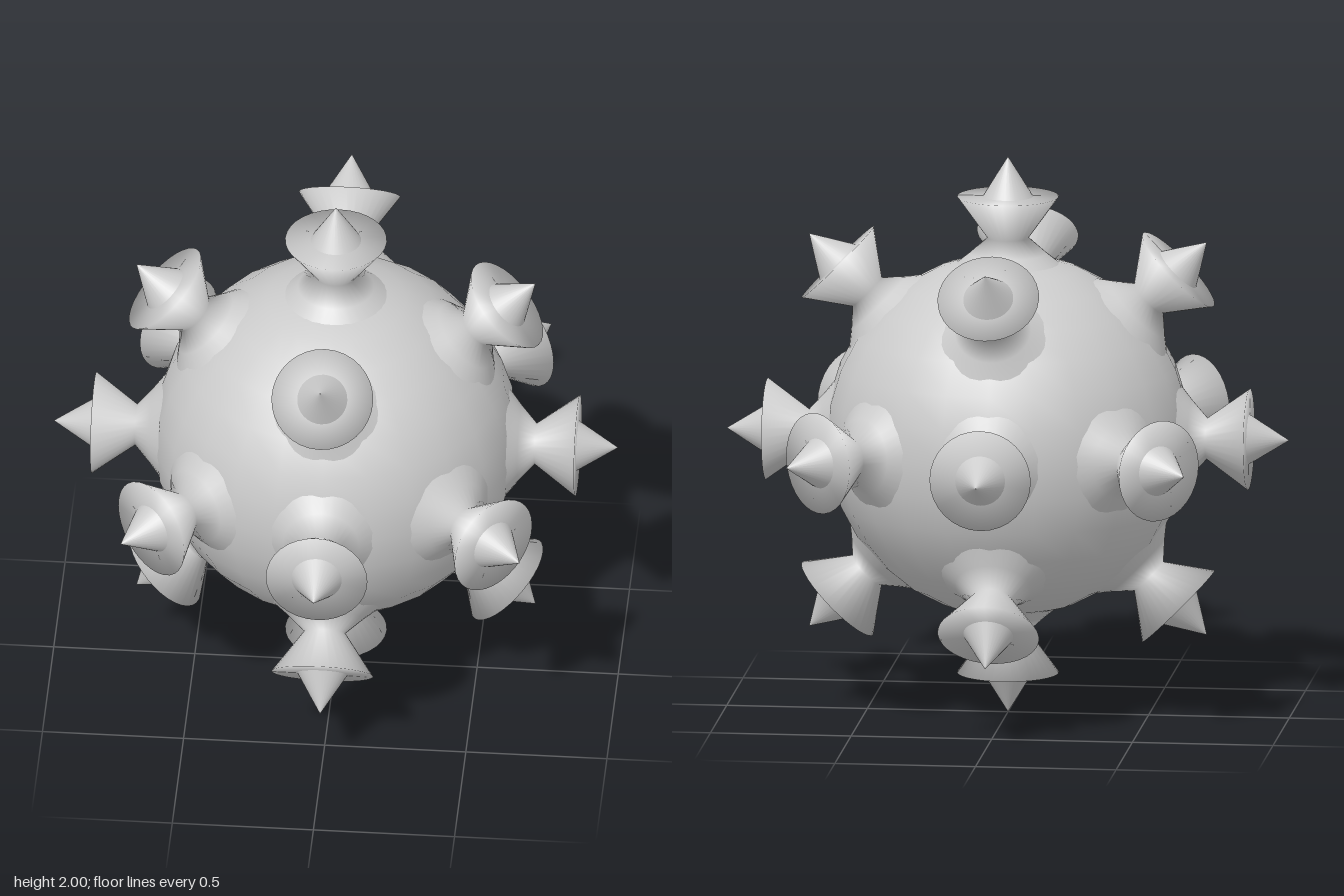
import * as THREE from 'three';

const CENTRE_Y = 1;

// The six axis directions and the twelve diagonals between them
function spikeDirections() {
  const dirs = [];
  for (let x = -1; x <= 1; x++)
    for (let y = -1; y <= 1; y++)
      for (let z = -1; z <= 1; z++) {
        const axes = Math.abs(x) + Math.abs(y) + Math.abs(z);
        if (axes === 1 || axes === 2) dirs.push(new THREE.Vector3(x, y, z).normalize());
      }
  return dirs;
}

export function createModel() {
  const group = new THREE.Group();
  group.name = 'spikedBall';
  const material = new THREE.MeshStandardMaterial({ color: 0xcccccc });

  // Round core
  const core = new THREE.Mesh(new THREE.SphereGeometry(0.645, 24, 16), material);
  core.name = 'core';
  core.position.y = CENTRE_Y;
  group.add(core);

  // Hourglass stud: flared foot, narrow waist, wide flat rim (radius, distance from centre)
  const profile = [
    [0.2, 0.6], [0.135, 0.652], [0.073, 0.708], [0.18, 0.857], [0, 0.857],
  ].map(([r, d]) => new THREE.Vector2(r, d));
  const studGeometry = new THREE.LatheGeometry(profile, 32);

  // Pointed tip standing on the rim
  const tipGeometry = new THREE.ConeGeometry(0.09, 0.145, 32, 1, true);
  tipGeometry.translate(0, 0.9275, 0);

  const up = new THREE.Vector3(0, 1, 0);
  for (const dir of spikeDirections()) {
    const spike = new THREE.Group();
    spike.name = 'spike';
    const stud = new THREE.Mesh(studGeometry, material);
    stud.name = 'stud';
    const tip = new THREE.Mesh(tipGeometry, material);
    tip.name = 'tip';
    spike.add(stud, tip);
    spike.quaternion.setFromUnitVectors(up, dir);
    spike.position.y = CENTRE_Y;
    group.add(spike);
  }
  return group;
}
